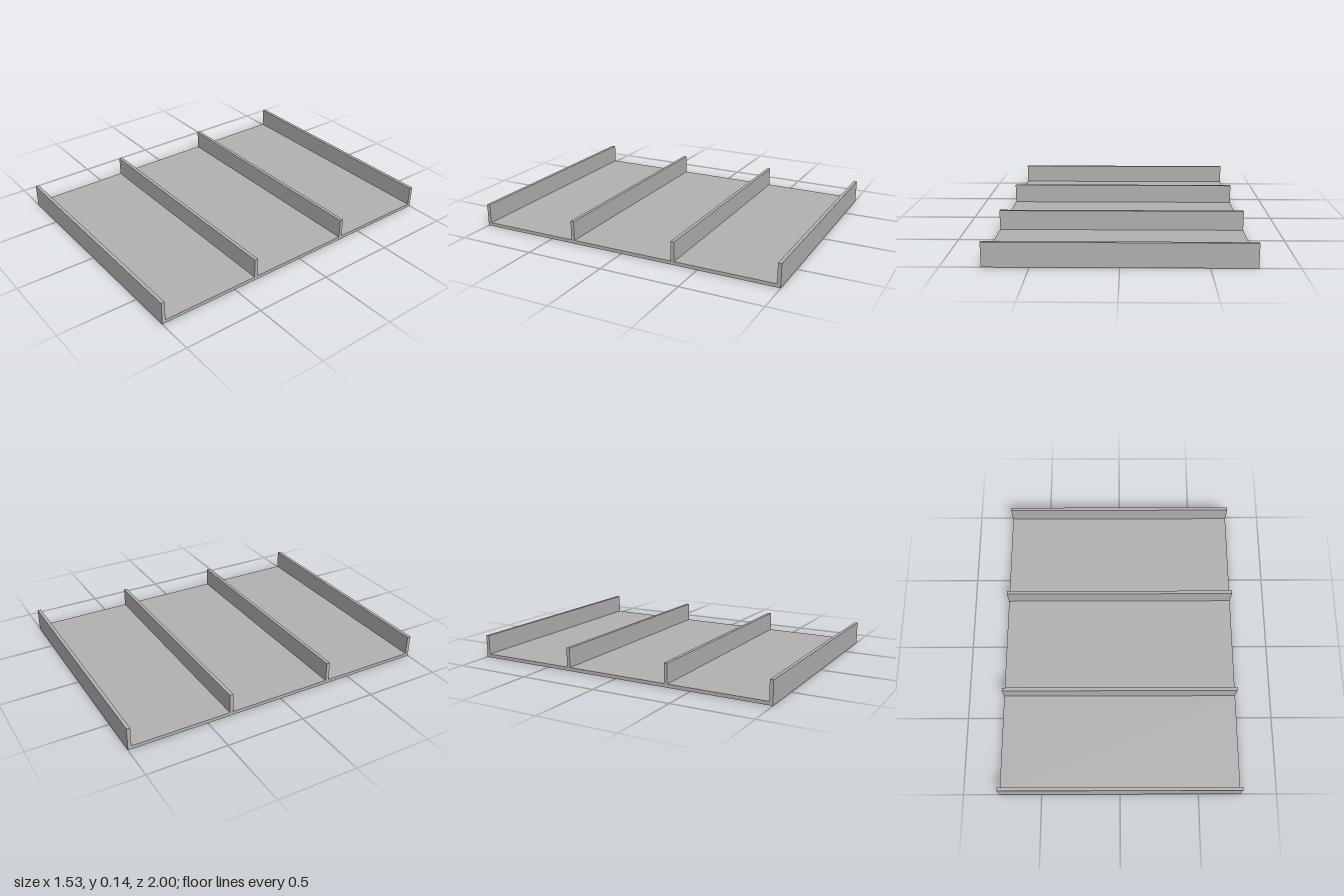
import * as THREE from 'three';

const WIDTH = 1.534, LENGTH = 2, HEIGHT = 0.145, THICK = 0.022;

export function createModel() {
  const group = new THREE.Group();
  group.name = 'ribbedPanel';
  const grey = new THREE.MeshStandardMaterial({ color: 0xb2b2b2 });
  grey.name = 'plain grey';

  // Panel with four upright ribs, as one side profile (x = depth, y = height)
  const half = LENGTH / 2;
  const ribStarts = [-half, -0.354, 0.332, half - THICK];
  const profile = new THREE.Shape();
  profile.moveTo(-half, 0);
  profile.lineTo(half, 0);
  for (const z of [...ribStarts].reverse()) {
    if (z + THICK < half) profile.lineTo(z + THICK, THICK);
    profile.lineTo(z + THICK, HEIGHT);
    profile.lineTo(z, HEIGHT);
    if (z > -half) profile.lineTo(z, THICK);
  }
  profile.closePath();

  // Extrude across the width, then turn so the profile runs along z
  const geometry = new THREE.ExtrudeGeometry(profile, { depth: WIDTH, bevelEnabled: false });
  geometry.translate(0, 0, -WIDTH / 2);
  geometry.rotateY(-Math.PI / 2);

  const panel = new THREE.Mesh(geometry, grey);
  panel.name = 'basePanelWithRibs';
  group.add(panel);
  return group;
}
